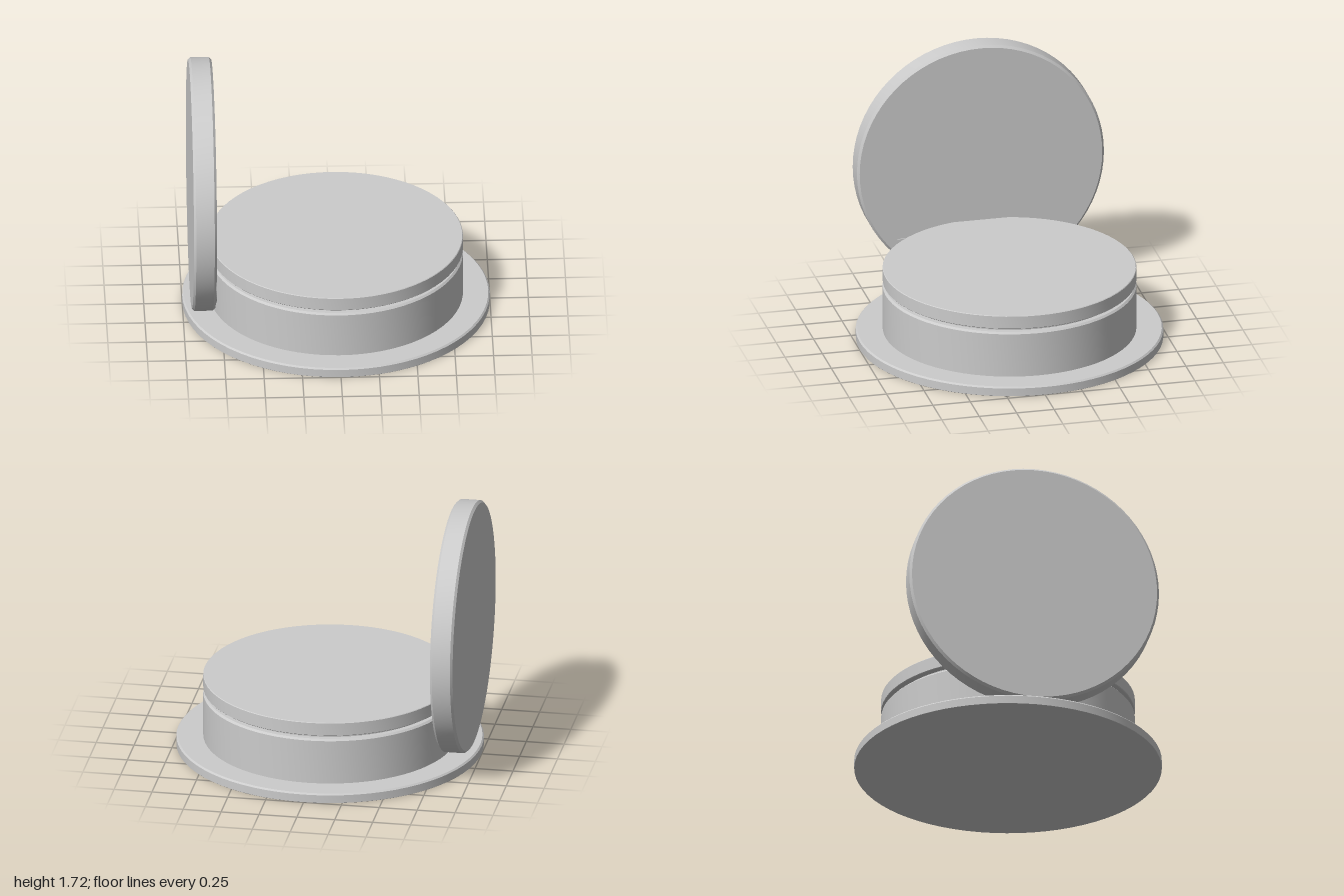
import * as THREE from 'three';
import { toCreasedNormals } from 'three/addons/utils/BufferGeometryUtils.js';

const material = new THREE.MeshStandardMaterial({ color: 0xcccccc });

// Solid disc from y0 to y1 with small chamfered rims
function disc(name, radius, y0, y1, bevelBottom, bevelTop) {
  const profile = [
    [0, y0],
    [radius - bevelBottom, y0],
    [radius, y0 + bevelBottom],
    [radius, y1 - bevelTop],
    [radius - bevelTop, y1],
    [0, y1],
  ].map(([r, y]) => new THREE.Vector2(r, y));
  const geometry = toCreasedNormals(new THREE.LatheGeometry(profile, 72), 0.5);
  const mesh = new THREE.Mesh(geometry, material);
  mesh.name = name;
  return mesh;
}

export function createModel() {
  const model = new THREE.Group();
  model.name = 'openContainer';

  // Stacked round body: flange, drum, recessed neck and top cap
  model.add(
    disc('baseFlange', 1.0, 0, 0.065, 0.002, 0.01),
    disc('drum', 0.825, 0.06, 0.375, 0.002, 0.012),
    disc('neck', 0.78, 0.36, 0.41, 0.002, 0.002),
    disc('topCap', 0.825, 0.4, 0.492, 0.004, 0.004),
  );

  // Lid standing upright on the right-hand side
  const lid = disc('lid', 0.825, -0.075, 0.075, 0.015, 0.015);
  lid.rotation.z = -Math.PI / 2;
  lid.position.set(-0.875, 0.892, 0);
  model.add(lid);

  // Thin half-round hinge leaf on the inner face of the lid
  const leafShape = new THREE.Shape();
  leafShape.absellipse(0, 0, 0.56, 0.26, Math.PI, Math.PI * 2, false);
  leafShape.closePath();
  const leaf = new THREE.Mesh(
    new THREE.ExtrudeGeometry(leafShape, { depth: 0.02, bevelEnabled: false, curveSegments: 24 }),
    material,
  );
  leaf.name = 'hingeLeaf';
  leaf.rotation.y = Math.PI / 2;
  leaf.position.set(-0.812, 0.41, 0);
  model.add(leaf);

  return model;
}
